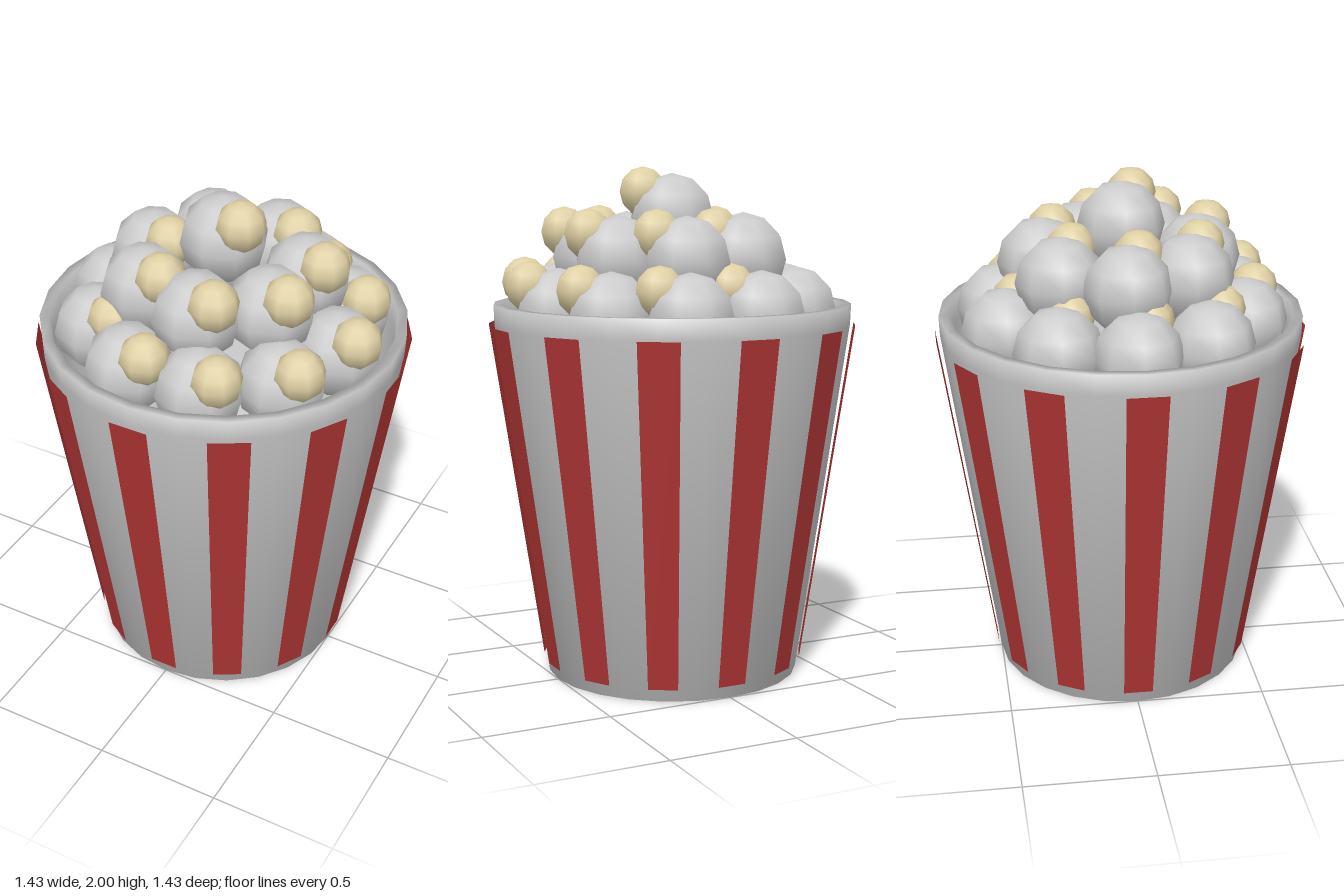
import * as THREE from 'three';

const grey = new THREE.MeshStandardMaterial({ color: 0xcccccc });
const greyOpen = new THREE.MeshStandardMaterial({ color: 0xcccccc, side: THREE.DoubleSide });
const red = new THREE.MeshStandardMaterial({ color: 0xb03535, side: THREE.DoubleSide });
const butter = new THREE.MeshStandardMaterial({ color: 0xdfd0a4 });

function addMesh(parent, name, geometry, material) {
  const mesh = new THREE.Mesh(geometry, material);
  mesh.name = name;
  parent.add(mesh);
  return mesh;
}

// Flat tapered strip that leans outward with the bucket wall
function stripeGeometry() {
  const top = { y: 1.39, r: 0.717, w: 0.078 };
  const bottom = { y: 0.05, r: 0.515, w: 0.057 };
  const g = new THREE.PlaneGeometry(1, 1);
  const p = g.attributes.position;
  for (let i = 0; i < p.count; i++) {
    const end = p.getY(i) > 0 ? top : bottom;
    p.setXYZ(i, Math.sign(p.getX(i)) * end.w, end.y, end.r);
  }
  g.computeVertexNormals();
  return g;
}

export function createModel() {
  const model = new THREE.Group();
  model.name = 'popcornBucket';

  // Bucket: outer wall, upright lip, inner wall and floor in one turned profile
  const profile = [
    [0, 0], [0.5, 0], [0.7, 1.39], [0.703, 1.47],
    [0.665, 1.47], [0.655, 1.39], [0.47, 0.04], [0, 0.04],
  ].map(([r, y]) => new THREE.Vector2(r, y));
  addMesh(model, 'bucket', new THREE.LatheGeometry(profile, 24), greyOpen);

  // Twelve stripes standing just off the wall
  const stripes = new THREE.Group();
  stripes.name = 'stripes';
  model.add(stripes);
  const stripe = stripeGeometry();
  for (let i = 0; i < 12; i++) {
    addMesh(stripes, 'stripe', stripe, red).rotation.y = (i * Math.PI) / 6;
  }

  // Popcorn: heaped rings of pieces, each a puff with a buttery bump
  const popcorn = new THREE.Group();
  popcorn.name = 'popcorn';
  model.add(popcorn);
  const puff = new THREE.SphereGeometry(0.17, 8, 6);
  const bump = new THREE.SphereGeometry(0.097, 8, 6);
  const layers = [
    { count: 10, radius: 0.48, y: 1.45, start: 0 },
    { count: 7, radius: 0.31, y: 1.65, start: 0.5 },
    { count: 1, radius: 0, y: 1.805, start: 0 },
  ];
  for (const { count, radius, y, start } of layers) {
    for (let i = 0; i < count; i++) {
      const a = start + (i / count) * Math.PI * 2;
      const piece = new THREE.Group();
      piece.name = 'popcornPiece';
      piece.position.set(Math.cos(a) * radius, y, Math.sin(a) * radius);
      addMesh(piece, 'puff', puff, grey);
      addMesh(piece, 'butterBump', bump, butter).position.set(0.1, 0.098, 0.053);
      popcorn.add(piece);
    }
  }
  return model;
}
